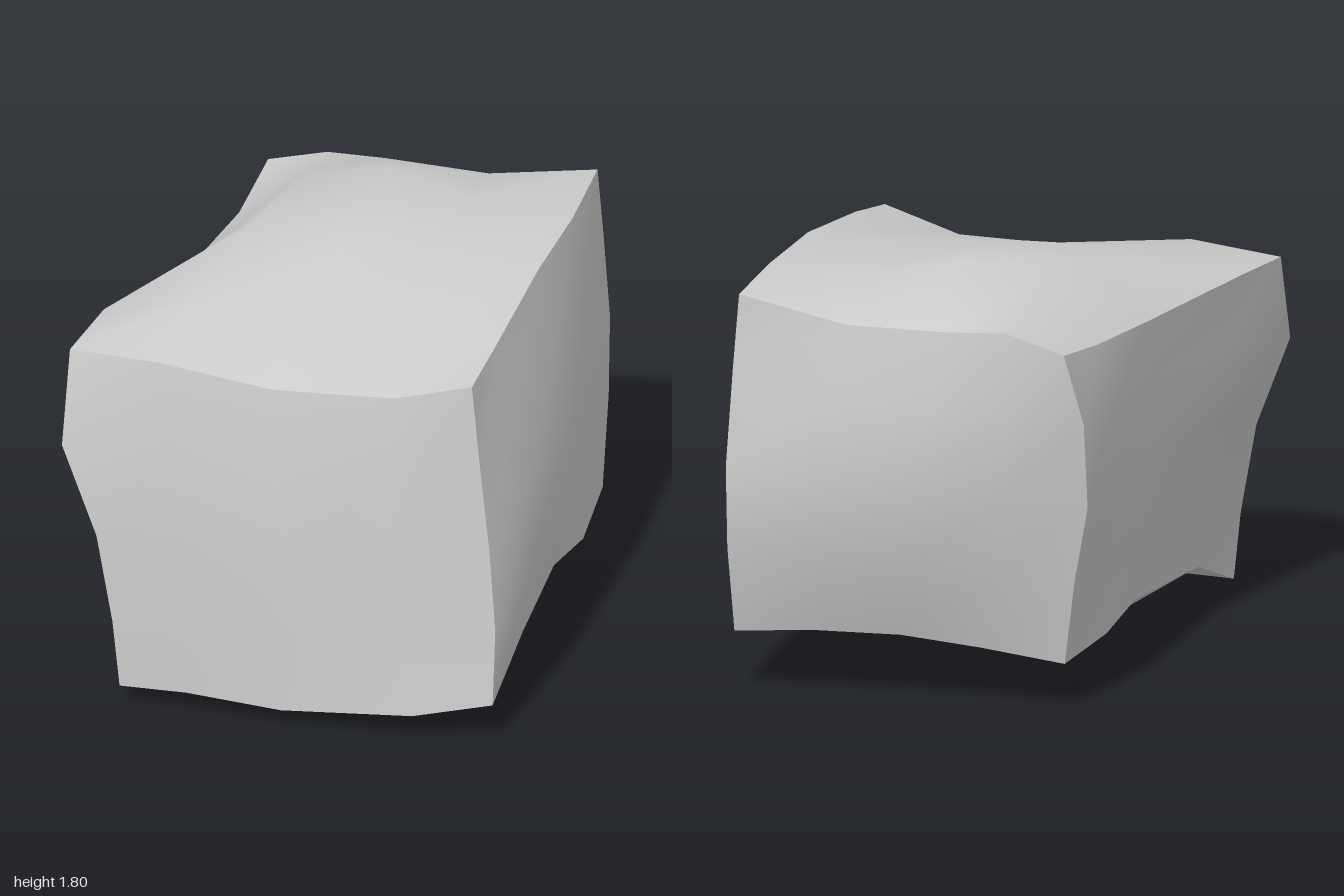
import * as THREE from 'three';

const N = 4; // segments along every edge
const edge = (...points) => points.map((p) => new THREE.Vector3(...p));
const rev = (e) => [...e].reverse();

// Corners: L/R = model's left (+x) / right, T/B = top / bottom, F/B = front / back
const LTF = [0.76, 1.59, 0.83], RTF = [-0.93, 1.53, 0.85];
const LTB = [0.81, 1.715, -0.88], RTB = [-0.57, 1.58, -0.845];
const LBF = [0.87, 0.18, 0.91], RBF = [-0.68, 0.09, 0.995];
const LBB = [0.84, 0.27, -0.85], RBB = [-0.515, 0.21, -0.67];

// Edges running right to left (+x)
const frontTop = edge(RTF, [-0.53, 1.55, 0.9], [-0.08, 1.47, 0.855], [0.43, 1.49, 0.83], LTF);
const frontBottom = edge(RBF, [-0.4, 0.095, 0.99], [0, 0.075, 0.995], [0.55, 0.12, 0.98], LBF);
const backTop = edge(RTB, [-0.32, 1.65, -0.845], [-0.08, 1.64, -0.875], [0.35, 1.63, -0.88], LTB);
const backBottom = edge(RBB, [-0.17, 0.26, -0.72], [0.15, 0.3, -0.78], [0.5, 0.3, -0.83], LBB);
// Edges running bottom to top
const frontLeft = edge(LBF, [0.87, 0.5, 0.87], [0.84, 0.87, 0.855], [0.8, 1.2, 0.84], LTF);
const frontRight = edge(RBF, [-0.71, 0.38, 0.995], [-0.78, 0.76, 0.985], [-0.93, 1.15, 0.97], RTF);
const backLeft = edge(LBB, [0.84, 0.65, -0.94], [0.84, 1, -0.96], [0.83, 1.4, -0.9], LTB);
const backRight = edge(RBB, [-0.58, 0.585, -0.74], [-0.63, 0.9, -0.72], [-0.64, 1.28, -0.8], RTB);
// Edges running back to front
const leftTop = edge(LTB, [0.825, 1.715, -0.45], [0.81, 1.715, 0], [0.785, 1.645, 0.53], LTF);
const leftBottom = edge(LBB, [0.873, 0.25, -0.44], [0.873, 0.355, 0], [0.89, 0.325, 0.53], LBF);
const rightTop = edge(RTB, [-0.59, 1.52, -0.48], [-0.66, 1.5, -0.07], [-0.88, 1.55, 0.52], RTF);
const rightBottom = edge(RBB, [-0.56, 0.225, -0.27], [-0.56, 0.26, 0.1], [-0.636, 0.235, 0.666], RBF);

// Smooth face from its border (as seen from outside) and three inner rows, bottom to top
function face(name, material, bottom, top, left, right, inner) {
  const rows = inner.map((points, j) => [left[j + 1], ...edge(...points), right[j + 1]]);
  const points = [bottom, ...rows, top].flat();
  const index = [];
  for (let j = 0; j < N; j++) {
    for (let i = 0; i < N; i++) {
      const a = j * (N + 1) + i, b = a + 1, c = a + N + 1, d = c + 1;
      index.push(a, b, d, a, d, c);
    }
  }
  const geometry = new THREE.BufferGeometry().setFromPoints(points);
  geometry.setIndex(index);
  geometry.computeVertexNormals();
  const mesh = new THREE.Mesh(geometry, material);
  mesh.name = name;
  return mesh;
}

export function createModel() {
  const group = new THREE.Group();
  group.name = 'warpedBlock';
  const stone = new THREE.MeshStandardMaterial({ color: 0xcccccc });

  group.add(
    face('frontFace', stone, frontBottom, frontTop, frontRight, frontLeft, [
      [[-0.36, 0.42, 0.99], [0.05, 0.42, 0.985], [0.48, 0.45, 0.95]],
      [[-0.4, 0.78, 0.98], [0.02, 0.78, 0.96], [0.45, 0.82, 0.91]],
      [[-0.5, 1.17, 0.96], [-0.05, 1.14, 0.93], [0.43, 1.17, 0.88]],
    ]),
    face('backFace', stone, rev(backBottom), rev(backTop), backLeft, backRight, [
      [[0.5, 0.63, -0.94], [0.1, 0.62, -0.9], [-0.25, 0.58, -0.82]],
      [[0.5, 0.98, -1], [0.05, 0.97, -0.96], [-0.3, 0.93, -0.87]],
      [[0.42, 1.35, -0.955], [-0.04, 1.32, -0.93], [-0.32, 1.3, -0.88]],
    ]),
    face('leftFace', stone, rev(leftBottom), rev(leftTop), frontLeft, backLeft, [
      [[0.93, 0.65, 0.55], [0.93, 0.67, 0.02], [0.88, 0.62, -0.47]],
      [[0.91, 0.98, 0.54], [0.93, 1.03, -0.12], [0.89, 1, -0.49]],
      [[0.85, 1.32, 0.53], [0.88, 1.37, 0], [0.87, 1.38, -0.48]],
    ]),
    face('rightFace', stone, rightBottom, rightTop, backRight, frontRight, [
      [[-0.58, 0.55, -0.31], [-0.6, 0.58, 0.05], [-0.69, 0.58, 0.6]],
      [[-0.635, 0.88, -0.34], [-0.62, 0.9, 0.02], [-0.75, 0.9, 0.57]],
      [[-0.645, 1.22, -0.43], [-0.62, 1.22, -0.02], [-0.83, 1.25, 0.54]],
    ]),
    face('topFace', stone, frontTop, backTop, rev(rightTop), rev(leftTop), [
      [[-0.5, 1.63, 0.5], [-0.05, 1.615, 0.47], [0.42, 1.62, 0.45]],
      [[-0.4, 1.735, -0.05], [0, 1.755, 0.04], [0.4, 1.72, 0]],
      [[-0.31, 1.745, -0.5], [0.03, 1.81, -0.49], [0.38, 1.73, -0.47]],
    ]),
    face('bottomFace', stone, backBottom, frontBottom, rightBottom, leftBottom, [
      [[-0.22, 0.215, -0.33], [0.13, 0.19, -0.38], [0.5, 0.22, -0.43]],
      [[-0.28, 0.1, 0.03], [0.1, 0.07, 0.03], [0.5, 0.2, 0.02]],
      [[-0.31, 0.03, 0.55], [0.08, 0.005, 0.63], [0.5, 0.13, 0.6]],
    ]),
  );
  return group;
}
